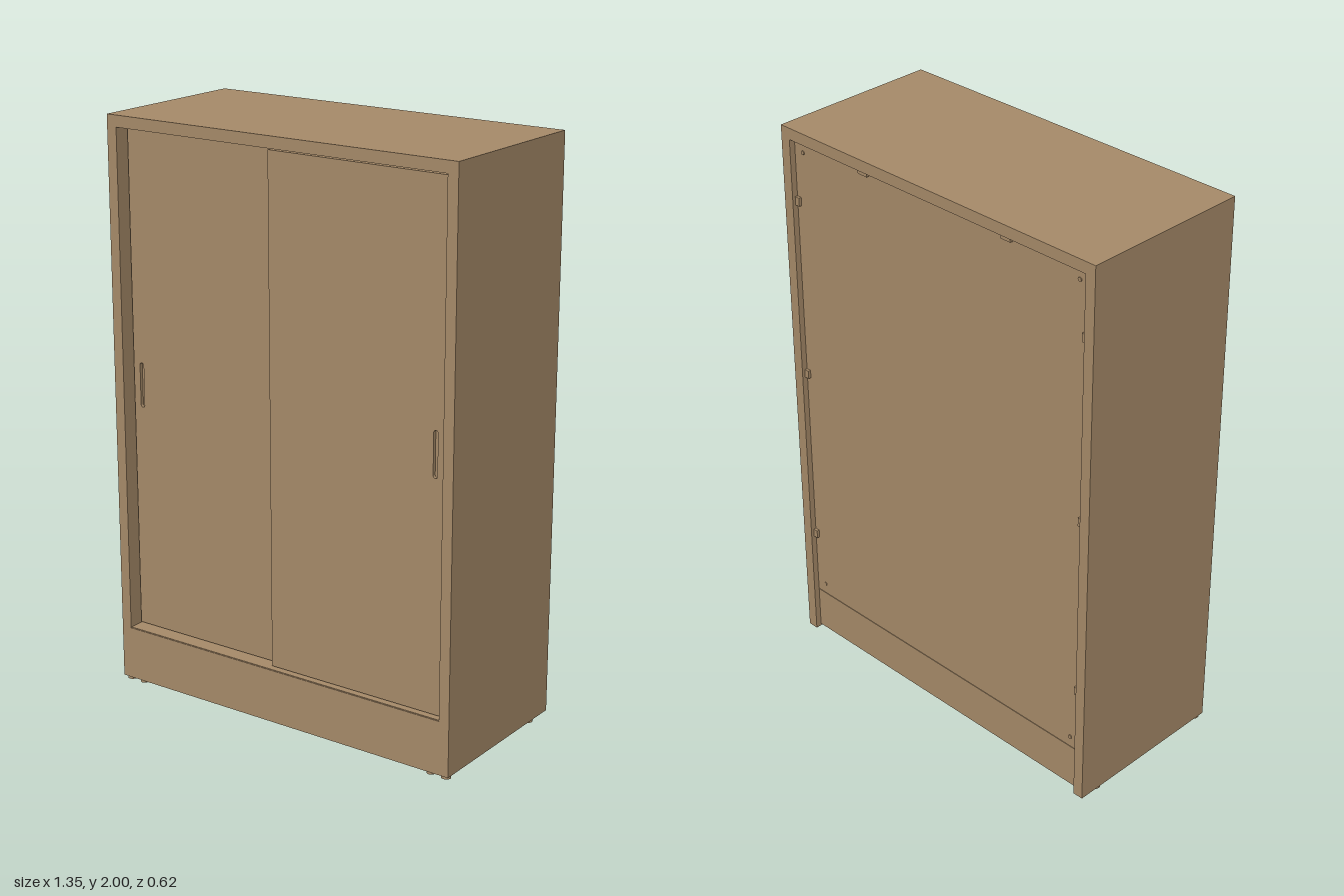
import * as THREE from 'three';

export function createModel() {
  const model = new THREE.Group();
  model.name = 'slidingDoorCabinet';
  const wood = new THREE.MeshStandardMaterial({ color: 0xa88c6a });
  wood.name = 'oak brown';

  // Box given by its minimum and maximum corners
  function box(name, x0, x1, y0, y1, z0, z1) {
    const mesh = new THREE.Mesh(new THREE.BoxGeometry(x1 - x0, y1 - y0, z1 - z0), wood);
    mesh.position.set((x0 + x1) / 2, (y0 + y1) / 2, (z0 + z1) / 2);
    mesh.name = name;
    model.add(mesh);
  }

  // Carcass
  const W = 0.677, D = 0.308, T = 0.038, inner = W - T;
  box('leftSide', inner, W, 0.012, 1.96, -D, D);
  box('rightSide', -W, -inner, 0.012, 1.96, -D, D);
  box('top', -W, W, 1.96, 2, -D, D);
  box('bottomPanel', -inner, inner, 0.175, 0.203, -0.285, D - 0.002);
  box('frontPlinth', -inner, inner, 0.012, 0.2, D - 0.035, D);
  box('backRail', -inner, inner, 0.02, 0.178, -0.287, -0.255);
  box('backPanel', -inner, inner, 0.182, 1.96, -0.287, -0.275);

  // Sliding doors, each with a routed finger slot
  function door(name, x0, x1, gripX, z) {
    const y0 = 0.208, y1 = 1.952, depth = 0.022, r = 0.008;
    const shape = new THREE.Shape();
    shape.moveTo(x0, y0).lineTo(x1, y0).lineTo(x1, y1).lineTo(x0, y1).closePath();
    const slot = new THREE.Path();
    slot.moveTo(gripX - r, 1.01);
    slot.absarc(gripX, 1.01, r, Math.PI, Math.PI * 2, false);
    slot.lineTo(gripX + r, 1.15);
    slot.absarc(gripX, 1.15, r, 0, Math.PI, false);
    slot.closePath();
    shape.holes.push(slot);
    const geometry = new THREE.ExtrudeGeometry(shape, { depth, bevelEnabled: false, curveSegments: 6 });
    const mesh = new THREE.Mesh(geometry, wood);
    mesh.position.z = z - depth;
    mesh.name = name;
    model.add(mesh);
    box(name + 'GripBacking', gripX - 0.02, gripX + 0.02, 0.99, 1.17, z - depth - 0.002, z - 0.012);
  }
  door('rightDoor', -0.634, 0.01, -0.6, 0.258);
  door('leftDoor', -0.036, 0.632, 0.6, 0.29);

  // Tracks behind the door edges
  box('topTrack', -inner, inner, 1.945, 1.96, 0.22, 0.235);
  box('bottomTrack', -inner, inner, 0.203, 0.214, 0.22, 0.235);

  // Round fittings: upright for feet, laid along z for screws
  function disc(name, radius, length, x, y, z, alongZ) {
    const mesh = new THREE.Mesh(new THREE.CylinderGeometry(radius, radius, length, 16), wood);
    if (alongZ) mesh.rotation.x = Math.PI / 2;
    mesh.position.set(x, y, z);
    mesh.name = name;
    model.add(mesh);
  }
  for (const s of [-1, 1]) {
    for (const z of [0.287, -0.22]) disc('foot', 0.015, 0.02, s * 0.658, 0.01, z, false);
    for (const x of [0.6, 0.655]) disc('plinthFoot', 0.014, 0.02, s * x, 0.01, 0.288, false);

    // Clips and screws holding the back panel
    for (const y of [0.43, 1.09, 1.74]) {
      box('sideClip', s * 0.63 - 0.009, s * 0.63 + 0.009, y - 0.015, y + 0.015, -0.297, -0.286);
    }
    box('topClip', s * 0.31 - 0.02, s * 0.31 + 0.02, 1.942, 1.96, -0.297, -0.286);
    for (const y of [0.22, 1.92]) disc('cornerScrew', 0.007, 0.004, s * 0.6, y, -0.288, true);
  }
  return model;
}
